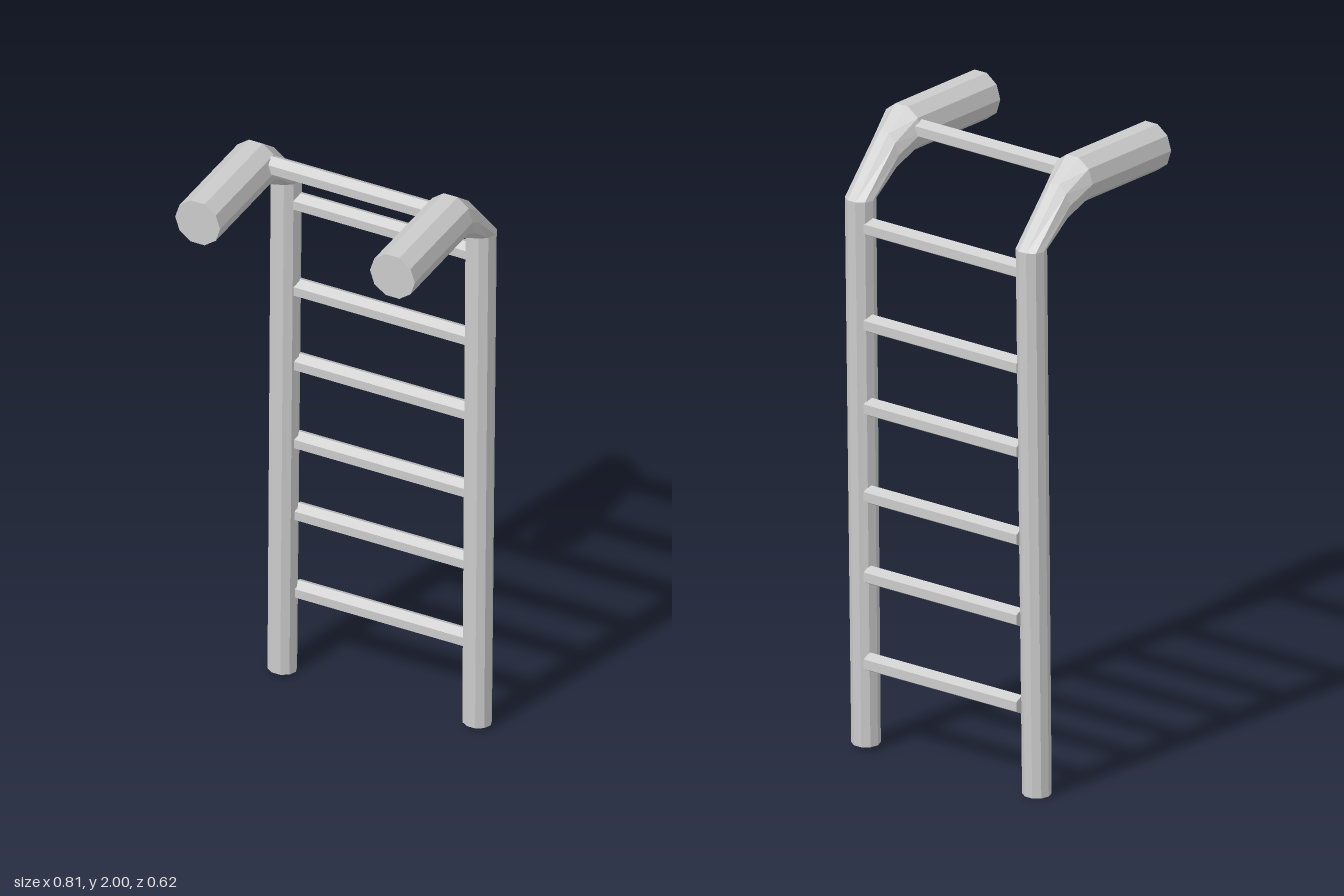
import * as THREE from 'three';

const material = new THREE.MeshStandardMaterial({ color: 0xcccccc, flatShading: true, side: THREE.DoubleSide });
const SIDES = 10;

// Ring along a rail: outer and inner edge as [y, z], and half width in x
const railRings = [
  { outer: [1.99, 0.31], inner: [1.843, 0.31], rx: 0.076 },
  { outer: [1.99, -0.065], inner: [1.843, -0.06], rx: 0.076 },
  { outer: [1.925, -0.15], inner: [1.8, -0.137], rx: 0.052 },
  { outer: [1.75, -0.305], inner: [1.75, -0.217], rx: 0.048 },
  { outer: [0, -0.275], inner: [0.005, -0.195], rx: 0.046 },
];

// Skins the rings into a closed ten-sided tube
function railGeometry() {
  const pos = [], index = [];
  const peak = Math.sin(Math.PI * 0.4);
  for (const { outer, inner, rx } of railRings) {
    const cy = (outer[0] + inner[0]) / 2, cz = (outer[1] + inner[1]) / 2;
    for (let j = 0; j < SIDES; j++) {
      const a = (j / SIDES) * Math.PI * 2, s = Math.sin(a) / peak;
      pos.push(rx * Math.cos(a), cy + (outer[0] - cy) * s, cz + (outer[1] - cz) * s);
    }
  }
  const last = (railRings.length - 1) * SIDES;
  for (let i = 0; i < last; i += SIDES) {
    for (let j = 0; j < SIDES; j++) {
      const a = i + j, b = i + (j + 1) % SIDES;
      index.push(a, a + SIDES, b, b, a + SIDES, b + SIDES);
    }
  }
  // End caps
  for (let j = 1; j < SIDES - 1; j++) {
    index.push(0, j, j + 1, last, last + j + 1, last + j);
  }
  const geo = new THREE.BufferGeometry();
  geo.setAttribute('position', new THREE.Float32BufferAttribute(pos, 3));
  geo.setIndex(index);
  const flat = geo.toNonIndexed();
  flat.computeVertexNormals();
  return flat;
}

// Six-sided bar along x with an edge pointing up
function rung(name, length, y, z) {
  const geo = new THREE.CylinderGeometry(0.03, 0.03, length, 6);
  geo.rotateY(Math.PI / 2).rotateZ(Math.PI / 2);
  geo.scale(1, 1, 1.1);
  const mesh = new THREE.Mesh(geo, material);
  mesh.name = name;
  mesh.position.set(0, y, z);
  return mesh;
}

export function createModel() {
  const group = new THREE.Group();
  group.name = 'ladder';

  // Side rails, bending forward into thick handles at the top
  const geo = railGeometry();
  for (const [name, x, y] of [['leftRail', 0.33, 0.01], ['rightRail', -0.33, 0]]) {
    const rail = new THREE.Mesh(geo, material);
    rail.name = name;
    rail.position.set(x, y, 0);
    group.add(rail);
  }

  // Rungs between the posts, and one between the handles
  [0.285, 0.563, 0.82, 1.1, 1.367, 1.675].forEach((y, i) => {
    group.add(rung(`rung${i + 1}`, 0.59, y, -0.261));
  });
  group.add(rung('topRung', 0.54, 1.935, -0.05));
  return group;
}
